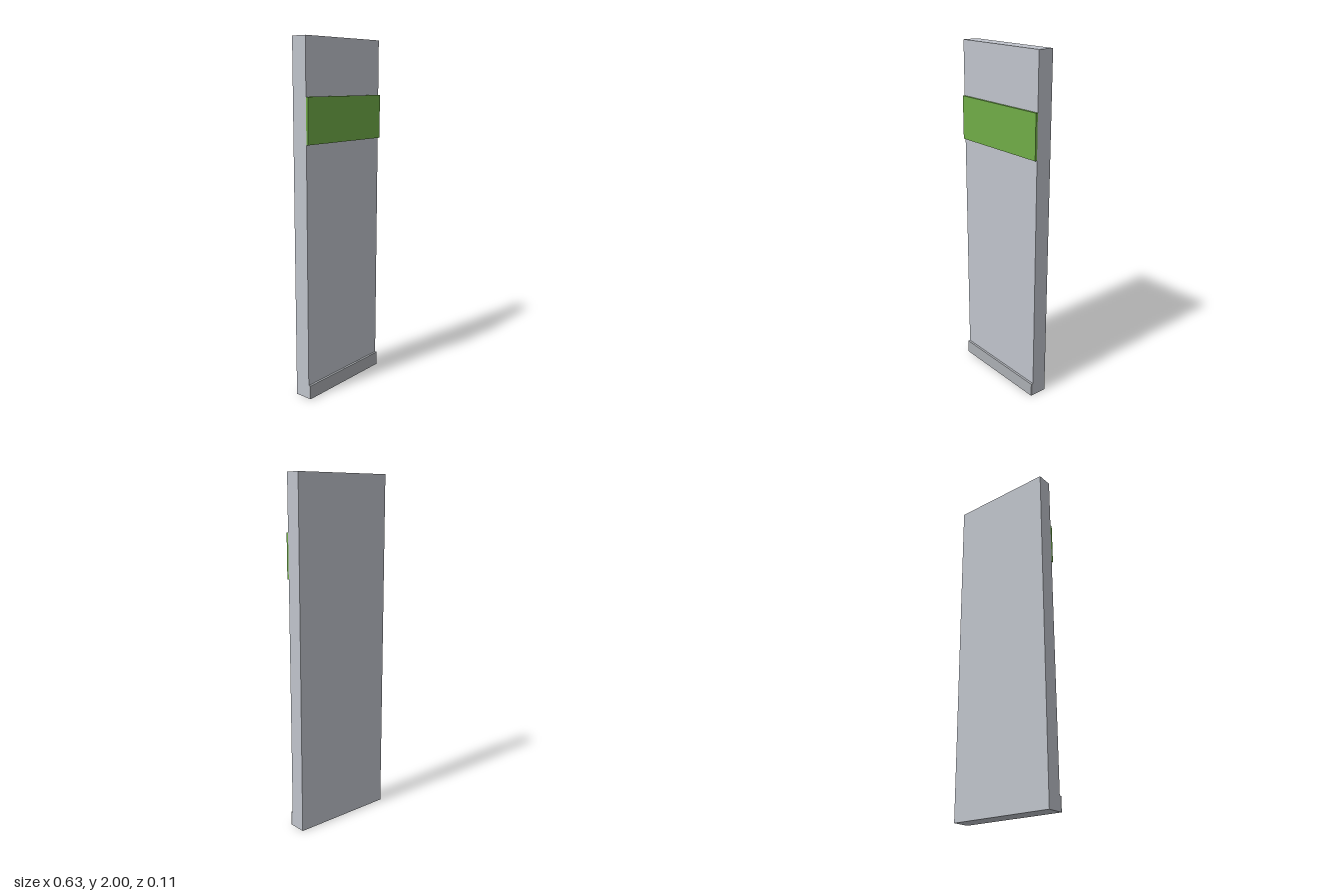
import * as THREE from 'three';

export function createModel() {
  const group = new THREE.Group();
  const material = (name, color) => {
    const m = new THREE.MeshStandardMaterial({ color });
    m.name = name;
    return m;
  };
  const lightGrey = material('light grey', 0xc0c4cc);
  const midGrey = material('mid grey', 0xabaeb3);
  const green = material('green', 0x70ac47);

  const width = 0.626;
  // Full-width block between two heights and two depths
  const block = (name, y0, y1, z0, z1, mat) => {
    const mesh = new THREE.Mesh(new THREE.BoxGeometry(width, y1 - y0, z1 - z0), mat);
    mesh.position.set(0, (y0 + y1) / 2, (z0 + z1) / 2);
    mesh.name = name;
    group.add(mesh);
  };

  block('panel', 0, 2, -0.053, 0.04, lightGrey);
  // Raised strips on the front face
  block('signBand', 1.44, 1.69, 0.04, 0.053, green);
  block('basePlinth', 0, 0.08, 0.04, 0.053, midGrey);

  return group;
}
